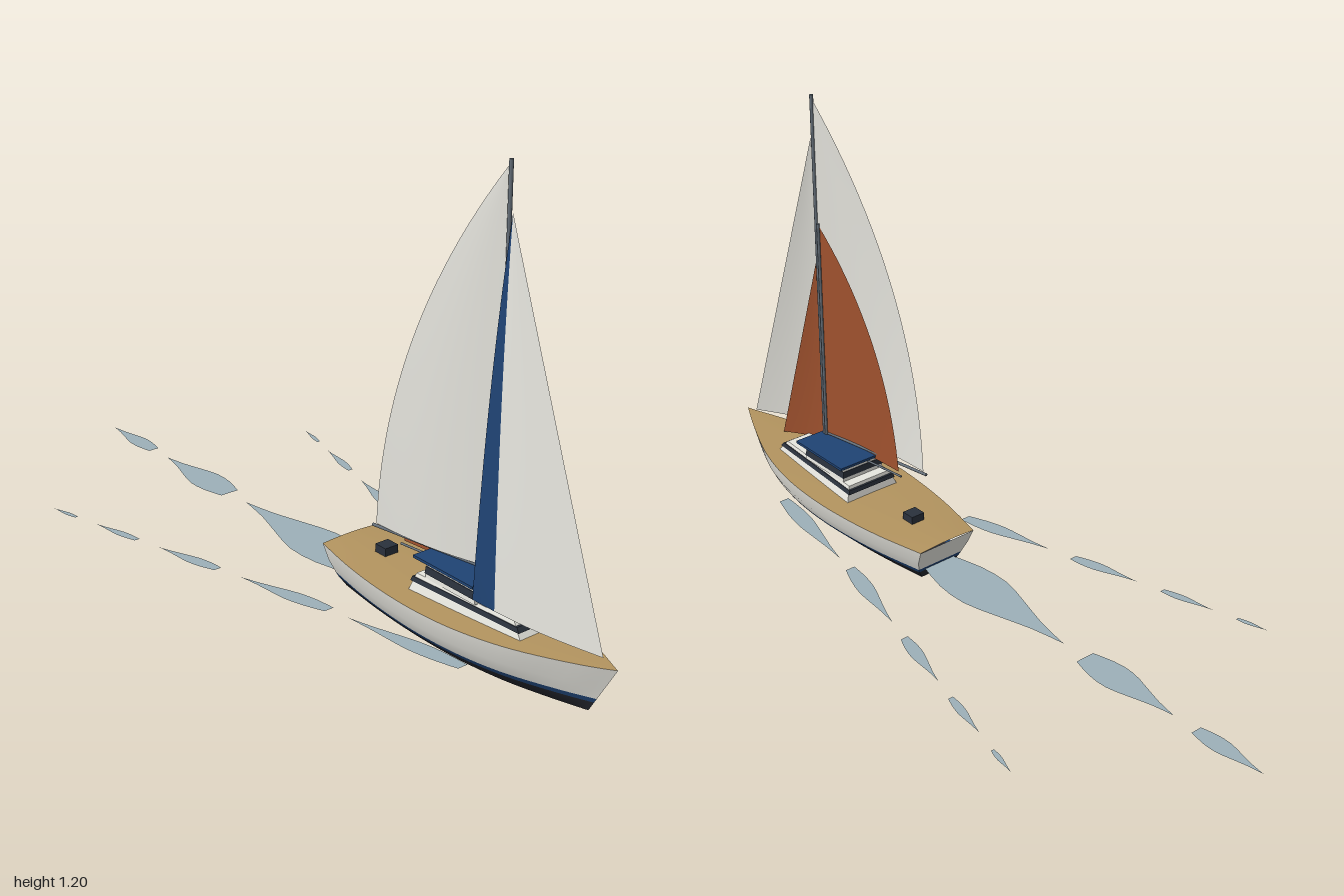
import * as THREE from 'three';

const mat = (name, color, side = THREE.FrontSide) => {
  const m = new THREE.MeshStandardMaterial({ color, side });
  m.name = name;
  return m;
};
const lerp = THREE.MathUtils.lerp;
const V = (x, y, z) => new THREE.Vector3(x, y, z);

export function createModel() {
  const model = new THREE.Group();
  model.name = 'sailboat';
  const D = THREE.DoubleSide;
  const white = mat('white', 0xe9e8e1, D);
  const navy = mat('navy', 0x1f4374, D);
  const black = mat('bottomPaint', 0x24262e, D);
  const teak = mat('teak', 0xb3945f, D);
  const rust = mat('rust', 0xa2532f, D);
  const spar = mat('spar', 0x66707a);
  const glass = mat('glass', 0x2a313c);
  const foam = mat('wake', 0x9cb0b8, D);

  const add = (name, geometry, material, parent = model) => {
    const m = new THREE.Mesh(geometry, material);
    m.name = name;
    parent.add(m);
    return m;
  };

  // Surface sampled on a grid, fn(u, v) with u, v in 0..1
  const grid = (nu, nv, fn) => {
    const pos = [], idx = [];
    for (let j = 0; j <= nv; j++)
      for (let i = 0; i <= nu; i++) pos.push(...fn(i / nu, j / nv).toArray());
    const w = nu + 1;
    for (let j = 0; j < nv; j++)
      for (let i = 0; i < nu; i++) {
        const a = j * w + i;
        idx.push(a, a + 1, a + w + 1, a, a + w + 1, a + w);
      }
    const g = new THREE.BufferGeometry();
    g.setAttribute('position', new THREE.Float32BufferAttribute(pos, 3));
    g.setIndex(idx);
    g.computeVertexNormals();
    return g;
  };

  // Hull: half-beam along the length, and width factor at each level
  const beam = new THREE.SplineCurve([[0, .088], [.15, .117], [.3, .135], [.45, .141],
    [.6, .131], [.75, .1], [.9, .045], [1, 0]].map(p => new THREE.Vector2(...p)));
  const deckY = t => .139 + .004 * t + .021 * t ** 3;
  const levels = [
    [t => deckY(t), 1], [() => .1, .94], [() => .068, .81], [() => .056, .75],
    [() => .03, .56], [t => .03 - .028 * Math.sin(Math.PI * t), 0],
  ];
  const hullPoint = (t, k, side) => {
    const p = beam.getPoint(t), y = levels[k][0](t);
    const h = Math.max(0, (y - .03) / .11);
    const x = lerp(lerp(.14, .094, h), lerp(.92, .985, h), p.x);
    return V(x, y, p.y * levels[k][1] * side);
  };
  const hull = new THREE.Group();
  hull.name = 'hull';
  model.add(hull);
  for (const [name, k0, k1, m] of [['topsides', 0, 2, white], ['waterlineStripe', 2, 3, navy], ['hullBottom', 3, 5, black]]) {
    const n = k1 - k0;
    const level = v => k0 + Math.round(v * n);
    add(name + 'Left', grid(36, n, (u, v) => hullPoint(u, level(1 - v), 1)), m, hull);
    add(name + 'Right', grid(36, n, (u, v) => hullPoint(u, level(v), -1)), m, hull);
    add(name + 'Transom', grid(4, n, (u, v) => hullPoint(0, level(1 - v), u * 2 - 1)), m, hull);
  }
  add('deck', grid(36, 6, (u, v) => {
    const s = 1 - 2 * v, p = hullPoint(u, 0, s);
    p.y += .004 * (1 - s * s) * (1 - u);
    return p;
  }), teak, hull);

  // Box with inward-sloping sides and a narrower forward end
  const house = (x0, x1, y0, y1, zLow, zHigh, bow = 1, slope = 0) => {
    const g = new THREE.BoxGeometry(1, 1, 1).toNonIndexed();
    const p = g.attributes.position;
    for (let i = 0; i < p.count; i++) {
      const top = p.getY(i) > 0, fore = p.getX(i) > 0;
      const z = (top ? zHigh : zLow) * (fore ? bow : 1);
      p.setXYZ(i, fore ? x1 - (top ? slope : 0) : x0 + (top ? slope * .3 : 0),
        top ? y1 : y0, Math.sign(p.getZ(i)) * z);
    }
    g.computeVertexNormals();
    return g;
  };
  const cabin = new THREE.Group();
  cabin.name = 'cabin';
  model.add(cabin);
  add('coachroof', house(.41, .77, .138, .184, .084, .068, .72, .04), white, cabin);
  add('coachroofWindows', house(.411, .753, .164, .175, .077, .073, .73, .009), glass, cabin);
  add('deckhouse', house(.45, .62, .182, .233, .066, .06, 1, .01), white, cabin);
  add('deckhouseWindows', house(.449, .621, .194, .212, .067, .0645, 1, .004), glass, cabin);
  add('cabinCanopy', house(.43, .632, .233, .24, .087, .087), navy, cabin);
  add('sternLocker', house(.214, .252, .138, .164, .02, .02), glass);

  // Spars
  const rod = (name, a, b, r) => {
    const m = add(name, new THREE.CylinderGeometry(r, r, a.distanceTo(b), 10), spar);
    m.position.copy(a).lerp(b, .5);
    m.quaternion.setFromUnitVectors(V(0, 1, 0), b.clone().sub(a).normalize());
  };
  rod('mast', V(.62, .14, 0), V(.62, 1.205, 0), .005);
  rod('innerMast', V(.61, .14, -.002), V(.61, .86, -.002), .004);
  rod('boom', V(.62, .244, 0), V(.255, .244, .062), .004);
  rod('innerBoom', V(.61, .215, 0), V(.33, .215, .037), .003);

  // Sails: straight luff, curved leech, slight belly to the lee side
  const sail = (name, m, tack, clew, head, ctrl, belly, u0 = 0, u1 = 1) => {
    const leech = new THREE.QuadraticBezierCurve3(clew, ctrl, head);
    add(name, grid(10, 24, (a, v) => {
      const u = lerp(u0, u1, a);
      const p = tack.clone().lerp(head, v).lerp(leech.getPoint(v), u);
      p.z += belly * Math.sin(Math.PI * u) * (1 - v);
      return p;
    }), m);
  };
  sail('mainsail', white, V(.614, .25, 0), V(.265, .25, .06), V(.614, 1.19, 0), V(.311, .76, .08), .016);
  sail('innerMainsail', rust, V(.606, .232, 0), V(.34, .226, .036), V(.606, .85, 0), V(.37, .6, .03), .006);
  const jib = [V(.955, .175, 0), V(.635, .21, .088), V(.63, 1.09, 0), V(.632, .72, .06), .012];
  sail('jib', white, ...jib, 0, .81);
  sail('jibLeechStrip', navy, ...jib, .81, 1);
  sail('innerJib', rust, V(.82, .16, 0), V(.612, .2, .04), V(.624, .76, 0), V(.622, .48, .03), .006);

  // Wake: flat leaves, blunt at the forward end and pointed aft
  const wake = new THREE.Group();
  wake.name = 'wake';
  model.add(wake);
  const profile = new THREE.SplineCurve([[0, .6], [.2, .95], [.4, 1], [.6, .65], [.8, .25], [1, 0]]
    .map(p => new THREE.Vector2(...p)));
  const leaf = (name, x0, z0, x1, z1, half) => add(name, grid(10, 2, (u, v) => {
    const p = profile.getPoint(u);
    return V(lerp(x0, x1, p.x), .06, lerp(z0, z1, p.x) + half * p.y * (1 - 2 * v) * -1);
  }), foam, wake);
  leaf('sternWake1', .14, 0, -.35, 0, .073);
  leaf('sternWake2', -.425, 0, -.725, 0, .045);
  leaf('sternWake3', -.795, 0, -1, 0, .025);
  const arms = [[.65, .125, .31, .186, .024], [.255, .195, -.01, .263, .023], [-.08, .282, -.27, .33, .018],
    [-.34, .35, -.485, .384, .012], [-.55, .402, -.635, .421, .007]];
  for (const side of [-1, 1])
    arms.forEach(([x0, z0, x1, z1, h], i) =>
      leaf((side > 0 ? 'leftWake' : 'rightWake') + (i + 1), x0, z0 * side, x1, z1 * side, h));

  return model;
}
